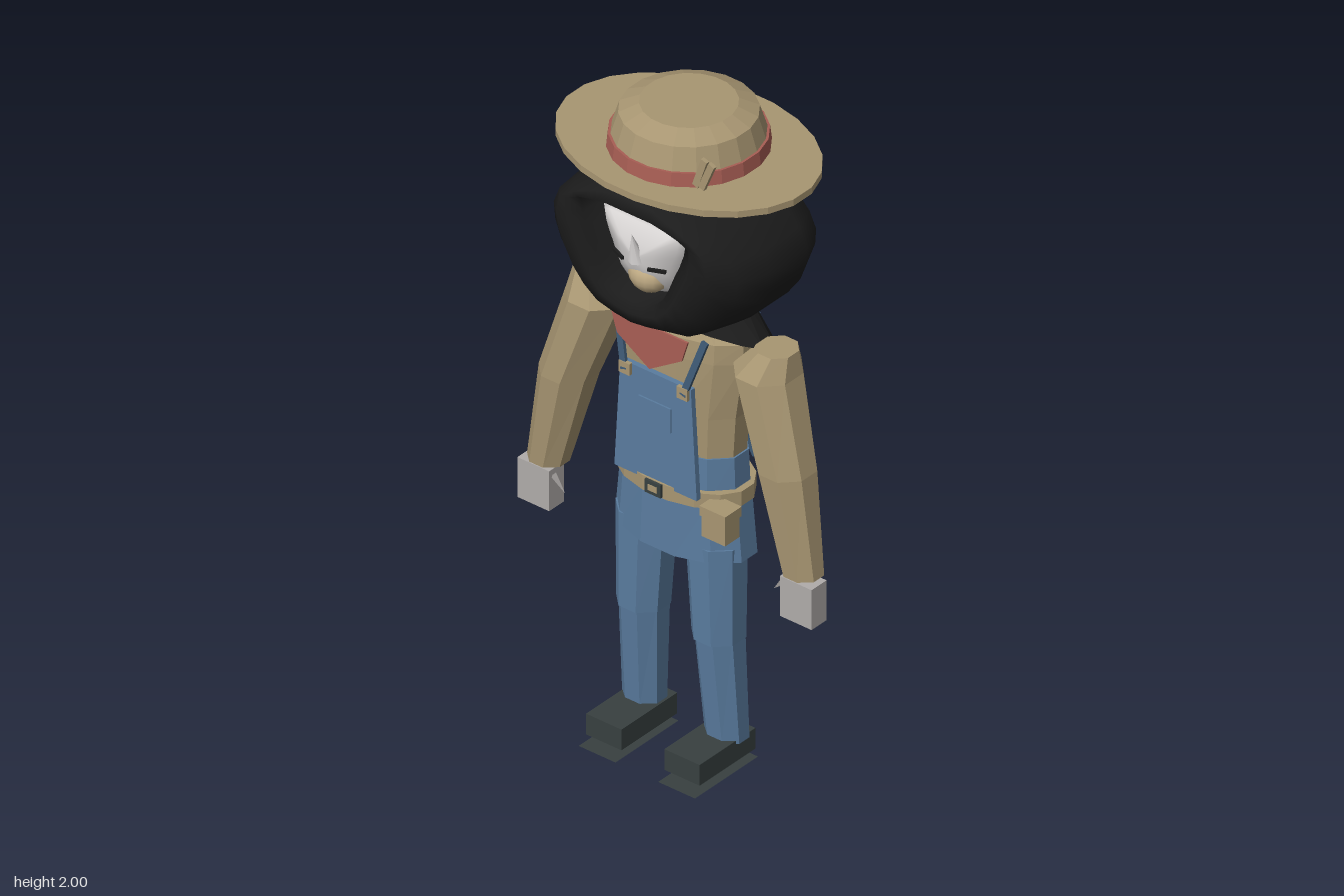
import * as THREE from 'three';

const mat = (name, color, both) => {
  const m = new THREE.MeshStandardMaterial({ color });
  m.name = name;
  if (both) m.side = THREE.DoubleSide;
  return m;
};
const V = (x, y, z) => new THREE.Vector3(x, y, z);

// Skin a list of equal-length rings; optionally close both ends.
function loft(rings, { caps = true, smooth = false } = {}) {
  const n = rings[0].length, pos = [], idx = [];
  rings.forEach(r => r.forEach(p => pos.push(p.x, p.y, p.z)));
  for (let i = 0; i < rings.length - 1; i++) {
    for (let j = 0; j < n; j++) {
      const a = i * n + j, b = i * n + (j + 1) % n;
      idx.push(a, a + n, b, b, a + n, b + n);
    }
  }
  if (caps) {
    [0, rings.length - 1].forEach(i => {
      const c = rings[i].reduce((s, p) => s.add(p), V(0, 0, 0)).divideScalar(n);
      const k = pos.length / 3;
      pos.push(c.x, c.y, c.z);
      for (let j = 0; j < n; j++) {
        const a = i * n + j, b = i * n + (j + 1) % n;
        if (i === 0) idx.push(k, a, b); else idx.push(k, b, a);
      }
    });
  }
  let g = new THREE.BufferGeometry();
  g.setAttribute('position', new THREE.Float32BufferAttribute(pos, 3));
  g.setIndex(idx);
  if (!smooth) g = g.toNonIndexed();
  g.computeVertexNormals();
  return g;
}

// Horizontal elliptical ring.
const ring = (cx, cy, cz, rx, rz, n = 8) => Array.from({ length: n }, (_, i) => {
  const a = ((i + 0.5) / n) * Math.PI * 2;
  return V(cx + rx * Math.cos(a), cy, cz + rz * Math.sin(a));
});

// Closed outline from a right-hand half profile, top to bottom.
const mirrorOutline = half => [
  ...half.map(([x, y]) => [-x, y]),
  ...half.slice(1, -1).reverse(),
];

export function createModel() {
  const model = new THREE.Group();
  const straw = mat('straw tan', 0xa89672);
  const denim = mat('denim blue', 0x5a7c9f);
  const strapBlue = mat('dark denim', 0x3d5873);
  const black = mat('hood black', 0x1c1c1c, true);
  const red = mat('scarf red', 0xa85e54, true);
  const grey = mat('glove grey', 0xb0acaa);
  const white = mat('mask white', 0xd6d3d2);
  const chinTan = mat('chin tan', 0xc2ad86);
  const boot = mat('boot dark', 0x384040, true);

  const add = (name, geo, material, x = 0, y = 0, z = 0) => {
    const m = new THREE.Mesh(geo, material);
    m.name = name;
    m.position.set(x, y, z);
    model.add(m);
    return m;
  };
  const box = (name, w, h, d, material, x, y, z) =>
    add(name, new THREE.BoxGeometry(w, h, d), material, x, y, z);
  const bar = (name, a, b, w, d, material) => {
    const m = box(name, w, a.distanceTo(b), d, material, 0, 0, 0);
    m.position.copy(a).lerp(b, 0.5);
    m.quaternion.setFromUnitVectors(V(0, 1, 0), b.clone().sub(a).normalize());
    return m;
  };
  const plate = (pts, depth) => new THREE.ExtrudeGeometry(
    new THREE.Shape(pts.map(p => new THREE.Vector2(...p))), { depth, bevelEnabled: false });

  // Hat
  add('hatBrim', loft([ring(0, 1.85, 0, 0.39, 0.288, 24), ring(0, 1.87, 0, 0.39, 0.288, 24)]), straw);
  add('hatCrown', loft([[1.87, 0.21], [1.91, 0.207], [1.975, 0.187], [2, 0.132]]
    .map(([y, r]) => ring(0, y, 0, r, r, 20))), straw);
  add('hatBand', loft([ring(0, 1.868, 0, 0.219, 0.219, 20), ring(0, 1.91, 0, 0.214, 0.214, 20)]), red);
  [[0.175, 0.205, 1.99], [0.195, 0.23, 1.985]].forEach(([x0, x1, y]) =>
    bar('hatStraw', V(x0, 1.9, 0.182), V(x1, y, 0.182), 0.02, 0.012, straw));

  // Hood, lofted front to back from the face opening
  const opening = mirrorOutline([[0, 1.755], [0.06, 1.755], [0.11, 1.755], [0.15, 1.755], [0.18, 1.748],
    [0.172, 1.7], [0.158, 1.66], [0.14, 1.62], [0.12, 1.57], [0.1, 1.53], [0.07, 1.5], [0.035, 1.487], [0, 1.482]]);
  const outline = mirrorOutline([[0, 1.85], [0.09, 1.85], [0.17, 1.805], [0.25, 1.75], [0.31, 1.69],
    [0.336, 1.635], [0.332, 1.58], [0.313, 1.53], [0.27, 1.47], [0.22, 1.43], [0.16, 1.395], [0.08, 1.38], [0, 1.37]]);
  const mixRing = (z, t, s = 1) => opening.map(([x, y], i) => V(
    s * (x + (outline[i][0] - x) * t), 1.62 + s * (y + (outline[i][1] - y) * t - 1.62), z));
  add('hood', loft([
    mixRing(0.13, 0, 0.95), mixRing(0.23, 0), mixRing(0.25, 0.2), mixRing(0.24, 0.5), mixRing(0.18, 0.85),
    mixRing(0.07, 1), mixRing(-0.08, 1), mixRing(-0.17, 1, 0.87), mixRing(-0.212, 1, 0.68),
    mixRing(-0.225, 1, 0.45), mixRing(-0.228, 1, 0.1),
  ], { smooth: true }), black);

  // Masked face
  add('face', loft([mixRing(0.225, 0, 0.05), mixRing(0.218, 0, 0.35), mixRing(0.195, 0, 0.7), mixRing(0.15, 0, 0.97)],
    { smooth: true }), white);
  const nose = add('nose', new THREE.ConeGeometry(0.025, 0.09, 8), white, 0, 1.655, 0.225);
  nose.rotation.x = 0.25;
  const chin = add('chin', new THREE.SphereGeometry(1, 16, 10), chinTan, 0.01, 1.555, 0.175);
  chin.scale.set(0.06, 0.055, 0.052);
  [-1, 1].forEach(s => {
    box('moustache', 0.05, 0.009, 0.008, black, s * 0.065, 1.6, 0.212).rotation.y = s * 0.4;
  });

  // Hood cape over the shoulders
  const capeHem = ring(0, 0, 0, 1, 1, 16).map(({ x, z }) =>
    V(0.28 * x, 1.335 + (z > 0 ? 0.045 : 0.055) * z, 0.0 + (z > 0 ? 0.12 : 0.135) * z));
  add('cape', loft([capeHem, ring(0, 1.45, 0, 0.16, 0.11, 16)], { caps: false }), black);
  add('scarf', plate([[-0.13, 1.375], [-0.11, 1.31], [0, 1.24], [0.11, 1.31], [0.13, 1.375]], 0.006), red, 0, 0, 0.158);

  // Torso
  add('shirt', loft([[0.96, 0.188, 0.11], [1.1, 0.198, 0.115], [1.28, 0.225, 0.115], [1.34, 0.225, 0.11], [1.4, 0.13, 0.08]]
    .map(([y, rx, rz]) => ring(0, y, 0.01, rx, rz, 12))), straw);
  add('trouserWaist', loft([ring(0, 0.84, 0.01, 0.2, 0.122, 12), ring(0, 0.975, 0.01, 0.194, 0.116, 12)]), denim);
  add('bib', plate([[-0.14, 0.87], [0.14, 0.87], [0.12, 1.21], [-0.12, 1.21]], 0.016), denim, 0, 0, 0.122);
  box('bibPocket', 0.11, 0.075, 0.006, denim, 0, 1.087, 0.14);
  add('hips', loft([ring(0, 0.66, 0.01, 0.222, 0.126, 12), ring(0, 0.84, 0.01, 0.205, 0.122, 12)]), denim);

  // Belt with buckle and pouch
  add('belt', loft([ring(0, 0.835, 0.013, 0.215, 0.133, 16), ring(0, 0.88, 0.013, 0.215, 0.133, 16)]), straw);
  box('buckle', 0.055, 0.04, 0.01, boot, 0, 0.858, 0.146);
  box('buckleCentre', 0.03, 0.018, 0.008, straw, 0, 0.858, 0.149);
  box('pouch', 0.08, 0.08, 0.06, straw, 0.198, 0.81, 0.11);
  box('pouchFlap', 0.088, 0.03, 0.068, straw, 0.198, 0.85, 0.11);

  [-1, 1].forEach(s => {
    // Braces, crossing at the back
    bar('frontStrap', V(s * 0.1, 1.19, 0.145), V(s * 0.15, 1.36, 0.115), 0.02, 0.01, strapBlue);
    box('strapButton', 0.036, 0.036, 0.012, straw, s * 0.098, 1.195, 0.143);
    bar('backStrap', V(s * 0.14, 1.34, -0.113), V(-s * 0.13, 0.88, -0.118), 0.016, 0.01, strapBlue);

    // Arm, glove and thumb
    add('arm', loft([
      ring(s * 0.432, 0.73, 0.055, 0.06, 0.056), ring(s * 0.37, 1.03, 0.045, 0.083, 0.085),
      ring(s * 0.285, 1.29, 0.018, 0.095, 0.1), ring(s * 0.31, 1.36, 0.01, 0.058, 0.06),
    ]), straw);
    box('glove', 0.108, 0.125, 0.062, grey, s * 0.446, 0.66, 0.07);
    const thumb = add('thumb', new THREE.ConeGeometry(0.012, 0.06, 4), grey, s * 0.375, 0.68, 0.08);
    thumb.rotation.z = s * 2.4;

    // Leg
    add('lowerLeg', loft([ring(s * 0.14, 0.08, 0.013, 0.064, 0.055), ring(s * 0.128, 0.42, 0.03, 0.072, 0.07)]), denim);
    add('upperLeg', loft([ring(s * 0.128, 0.4, 0.032, 0.076, 0.074), ring(s * 0.118, 0.7, 0.03, 0.088, 0.082)]), denim);

    // Boot with a thin flat sole
    box('boot', 0.12, 0.065, 0.23, boot, s * 0.133, 0.058, 0.075);
    add('sole', new THREE.PlaneGeometry(0.125, 0.26), boot, s * 0.135, 0, 0.085).rotation.x = -Math.PI / 2;
  });

  return model;
}
